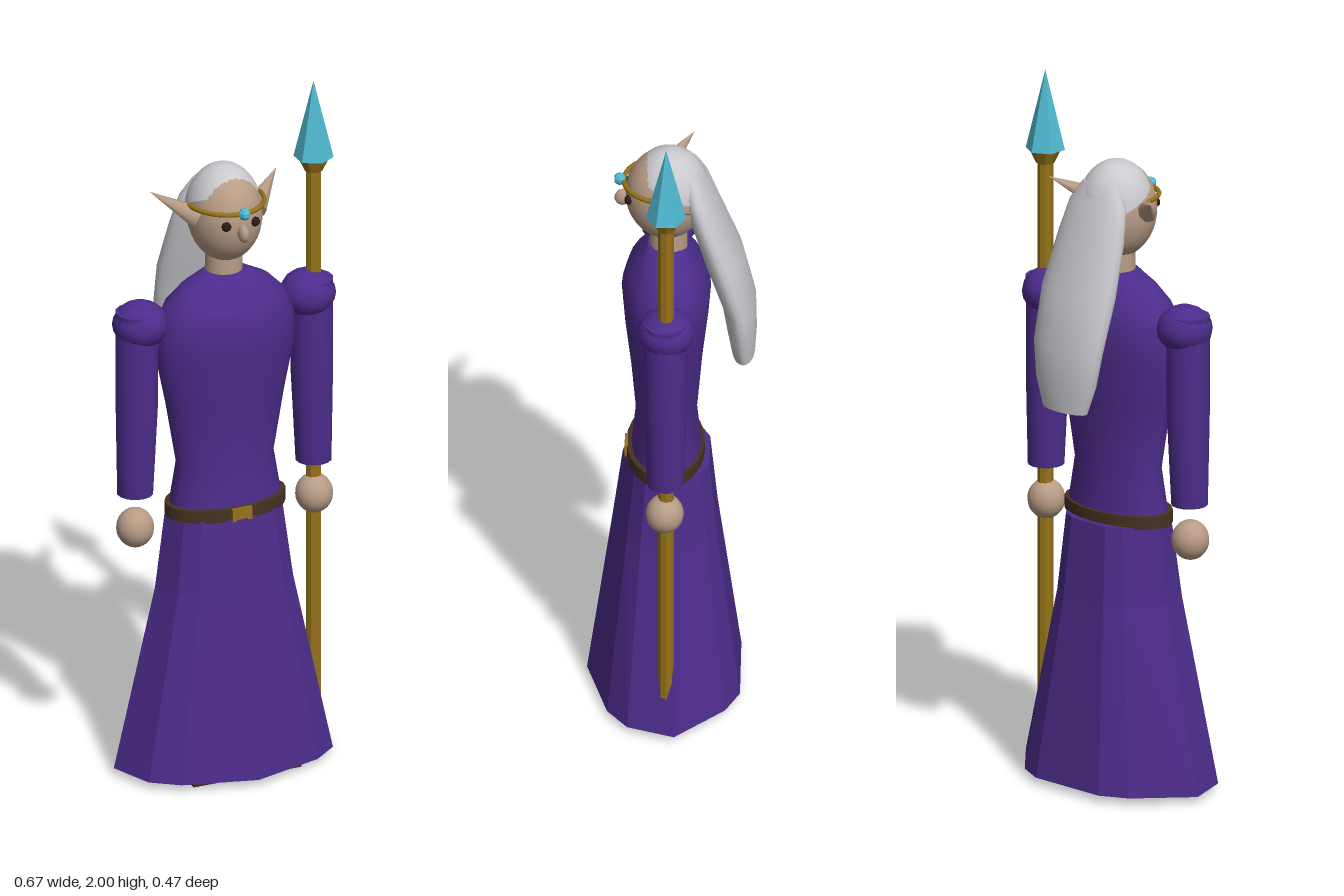
import * as THREE from 'three';
import { toCreasedNormals } from 'three/addons/utils/BufferGeometryUtils.js';

const mat = (name, color) => {
  const m = new THREE.MeshStandardMaterial({ color });
  m.name = name;
  return m;
};

// Skin over closed rings of [x, y, z], listed from bottom to top, with flat caps
function loft(rings, flat) {
  const n = rings[0].length, pos = rings.flat(2), idx = [];
  for (let i = 0; i < rings.length - 1; i++) {
    for (let j = 0; j < n; j++) {
      const a = i * n + j, b = i * n + (j + 1) % n;
      idx.push(a, b, a + n, b, b + n, a + n);
    }
  }
  [0, rings.length - 1].forEach((r) => {
    const c = pos.length / 3;
    for (let k = 0; k < 3; k++) pos.push(rings[r].reduce((s, p) => s + p[k], 0) / n);
    for (let j = 0; j < n; j++) {
      const a = r * n + j, b = r * n + (j + 1) % n;
      idx.push(...(r ? [a, b, c] : [b, a, c]));
    }
  });
  const g = new THREE.BufferGeometry();
  g.setAttribute('position', new THREE.Float32BufferAttribute(pos, 3));
  g.setIndex(idx);
  if (!flat) return toCreasedNormals(g, 0.9);
  const f = g.toNonIndexed();
  f.computeVertexNormals();
  return f;
}

// Elliptical ring at height y, centred on (x, z)
const oval = (y, x, z, hx, hz, n) => Array.from({ length: n }, (_, i) => {
  const a = (i / n) * Math.PI * 2;
  return [x + Math.sin(a) * hx, y, z + Math.cos(a) * hz];
});

export function createModel() {
  const model = new THREE.Group();
  const purple = mat('purple cloth', 0x4d2c8c), skin = mat('skin', 0xb89c86);
  const white = mat('white hair', 0xc9c9ce), gold = mat('gold', 0x967319);
  const brown = mat('brown leather', 0x453220), cyan = mat('cyan crystal', 0x4fb9d1);
  const dark = mat('dark eyes', 0x2a1c16);

  const add = (name, geo, m, x = 0, y = 0, z = 0) => {
    const mesh = new THREE.Mesh(geo, m);
    mesh.name = name;
    mesh.position.set(x, y, z);
    model.add(mesh);
    return mesh;
  };
  const ball = (name, m, x, y, z, rx, ry = rx, rz = rx, seg = 20) => {
    const b = add(name, new THREE.SphereGeometry(1, seg, Math.ceil(seg * 0.7)), m, x, y, z);
    b.scale.set(rx, ry, rz);
    return b;
  };

  // Faceted skirt: one hem outline, shrunk towards the waist
  const half = [[0, 0.236], [0.209, 0.177], [0.283, 0.12], [0.328, -0.01], [0.2, -0.15], [0.12, -0.19]];
  const hem = [...half, ...half.slice(1).reverse().map(([x, z]) => [-x, z])];
  const skirtRing = (y, sx, sz, cz) => hem.map(([x, z]) => [x * sx, y, cz + (z - 0.023) * sz]);
  add('skirt', loft([
    skirtRing(0.02, 1, 1, 0.023),
    skirtRing(0.55, 0.625, 0.68, 0.02),
    skirtRing(0.77, 0.535, 0.565, 0.016),
  ], true), purple);

  // Torso: [y, half width, half depth]
  const torso = [[0.77, 0.17, 0.1], [0.92, 0.145, 0.085], [1.1, 0.176, 0.1], [1.25, 0.207, 0.117],
    [1.34, 0.205, 0.124], [1.4, 0.18, 0.108], [1.45, 0.13, 0.075], [1.485, 0.06, 0.052]];
  add('torso', loft(torso.map(([y, hx, hz]) => oval(y, 0, 0.016, hx, hz, 24))), purple);

  // Belt and buckle
  add('belt', loft([0.765, 0.802].map((y) => oval(y, 0, 0.018, 0.179, 0.109, 24))), brown);
  add('buckle', new THREE.BoxGeometry(0.06, 0.038, 0.009), gold, 0, 0.784, 0.127);

  // Neck and head
  add('neck', new THREE.CylinderGeometry(0.05, 0.054, 0.13, 16), skin, 0, 1.51, 0.01);
  ball('head', skin, 0, 1.655, 0.015, 0.104, 0.138, 0.115, 28);
  const nose = ball('nose', skin, 0, 1.638, 0.137, 0.015, 0.026, 0.023, 12);
  nose.rotation.x = -0.2;

  // Hair cap, tilted towards the back of the head
  const cap = new THREE.SphereGeometry(1, 28, 14, 0, Math.PI * 2, 0, 1.27);
  cap.rotateX(-0.35);
  cap.scale(0.108, 0.145, 0.113);
  white.side = THREE.DoubleSide;
  add('hairCap', cap, white, 0, 1.655, 0.008);

  // Long swept hair: [y, z, half width, half depth]
  const hair = [[1.12, -0.198, 0.08, 0.032], [1.2, -0.194, 0.108, 0.041], [1.3, -0.185, 0.124, 0.048],
    [1.45, -0.143, 0.131, 0.055], [1.6, -0.092, 0.117, 0.048], [1.69, -0.065, 0.1, 0.042],
    [1.745, -0.052, 0.065, 0.026]];
  add('longHair', loft(hair.map(([y, z, hx, hz]) => oval(y, 0, z, hx, hz, 20))), white);

  // Circlet with a gem
  const band = new THREE.TorusGeometry(1, 0.06, 8, 32, Math.PI);
  band.rotateX(Math.PI / 2);
  band.scale(0.109, 0.12, 0.122);
  add('circlet', band, gold, 0, 1.697, 0.012);
  const gem = new THREE.SphereGeometry(0.018, 6, 5).toNonIndexed();
  gem.computeVertexNormals();
  add('circletGem', gem, cyan, 0, 1.7, 0.145);

  for (const s of [1, -1]) {
    const side = s > 0 ? 'left' : 'right';

    // Eye and pointed ear
    ball(side + 'Eye', dark, s * 0.044, 1.66, 0.12, 0.014, 0.014, 0.012, 12);
    const base = new THREE.Vector3(s * 0.085, 1.66, 0.035);
    const reach = new THREE.Vector3(s * 0.195, 1.724, -0.06).sub(base);
    const cone = new THREE.ConeGeometry(0.034, reach.length(), 8);
    const ear = add(side + 'Ear', cone, skin);
    ear.position.copy(base).addScaledVector(reach, 0.5);
    ear.quaternion.setFromUnitVectors(new THREE.Vector3(0, 1, 0), reach.normalize());

    // Puffed shoulder, sleeve and hand
    ball(side + 'Shoulder', purple, s * 0.257, 1.363, 0.012, 0.079, 0.068, 0.079, 14);
    const sleeve = [[0.855, 0.274, 0.051], [1.12, 0.269, 0.06], [1.405, 0.268, 0.061]];
    add(side + 'Sleeve', loft(sleeve.map(([y, x, r]) => oval(y, s * x, 0.014, r, r, 14))), purple);
    ball(side + 'Hand', skin, s * 0.275, 0.752, 0.016, 0.053, 0.057, 0.053);

    // Shoe
    add(side + 'Shoe', new THREE.BoxGeometry(0.13, 0.04, 0.215), brown, s * 0.1, 0.02, 0.057);
  }

  // Spear: shaft, collar and six-sided crystal head
  const prism = (name, rTop, rBottom, y0, y1, sides, m) => {
    const g = new THREE.CylinderGeometry(rTop, rBottom, y1 - y0, sides).toNonIndexed();
    g.computeVertexNormals();
    add(name, g, m, 0.275, (y0 + y1) / 2, 0.012);
  };
  prism('spearShaft', 0.022, 0.022, 0.04, 1.74, 8, gold);
  prism('spearCollar', 0.046, 0.026, 1.73, 1.772, 8, gold);
  prism('spearHead', 0, 0.056, 1.77, 2, 6, cyan);

  return model;
}
